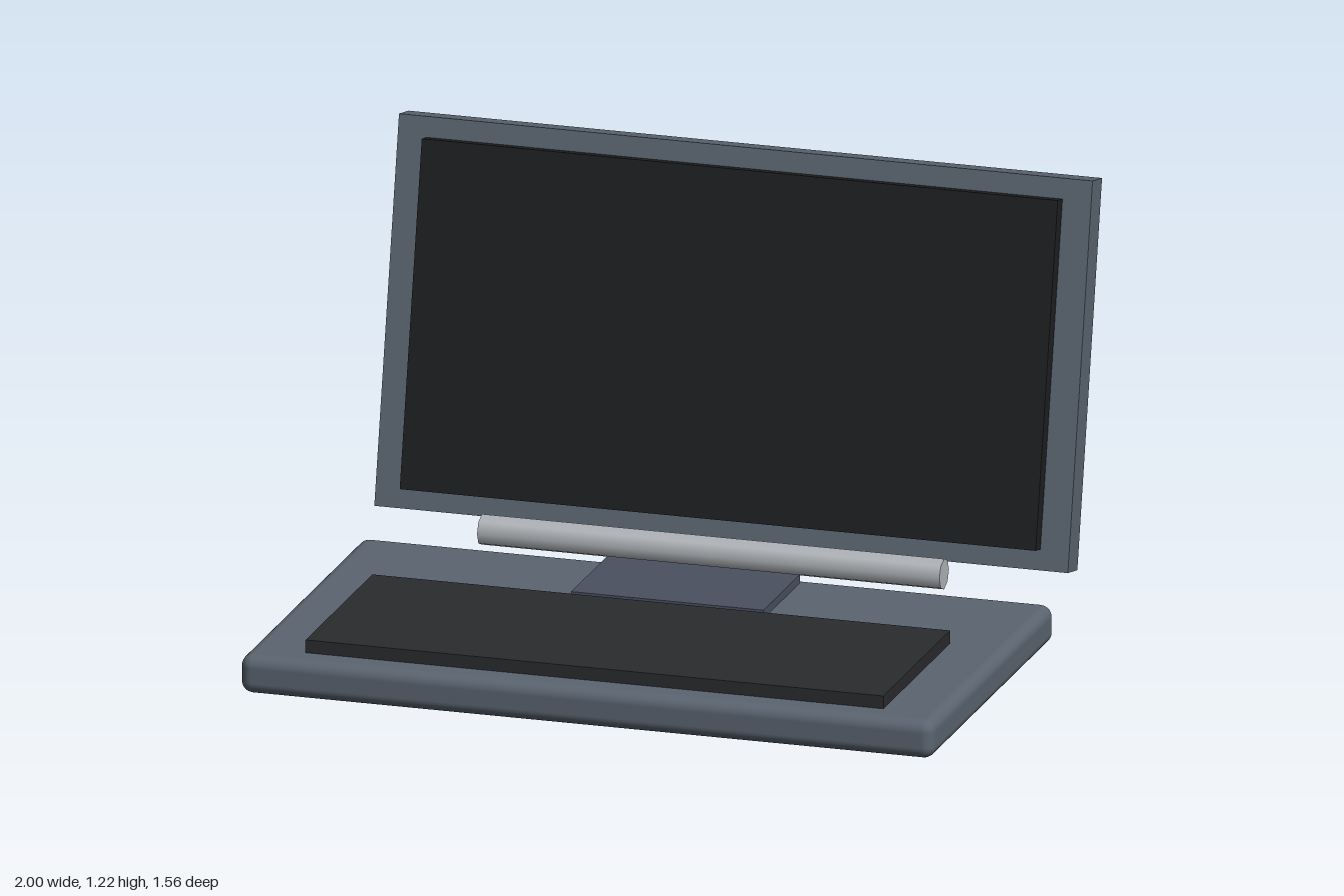
import * as THREE from 'three';
import { RoundedBoxGeometry } from 'three/addons/geometries/RoundedBoxGeometry.js';

const paint = (color) => new THREE.MeshStandardMaterial({ color });

function part(parent, name, geometry, material, x, y, z) {
  const mesh = new THREE.Mesh(geometry, material);
  mesh.name = name;
  mesh.position.set(x, y, z);
  parent.add(mesh);
  return mesh;
}

export function createModel() {
  const group = new THREE.Group();
  group.name = 'laptop';
  const shell = paint(0x5a6470);

  // Base with rounded edges
  part(group, 'base', new RoundedBoxGeometry(2, 0.111, 1.124, 4, 0.034), shell, 0, 0.0555, 0.217);

  // Raised slabs on the base, sunk slightly into it
  part(group, 'keyboard', new THREE.BoxGeometry(1.666, 0.05, 0.612), paint(0x2a2b2e), 0, 0.123, 0.391);
  part(group, 'trackpad', new THREE.BoxGeometry(0.555, 0.035, 0.333), paint(0x4a5060), 0, 0.1175, -0.138);

  // Hinge bar
  const hinge = part(group, 'hinge', new THREE.CylinderGeometry(0.044, 0.044, 1.333, 8), paint(0xb0b4b8), 0, 0.148, -0.389);
  hinge.rotation.z = Math.PI / 2;

  // Lid leaning back, with the screen on its front face
  const lid = new THREE.Group();
  lid.name = 'lid';
  lid.position.set(0, 0.683, -0.621);
  lid.rotation.x = -THREE.MathUtils.degToRad(12);
  group.add(lid);
  part(lid, 'lidPanel', new THREE.BoxGeometry(2, 1.088, 0.089), shell, 0, 0, 0);
  part(lid, 'screen', new THREE.BoxGeometry(1.834, 0.972, 0.05), paint(0x1e1f20), 0, 0, 0.064);

  return group;
}
